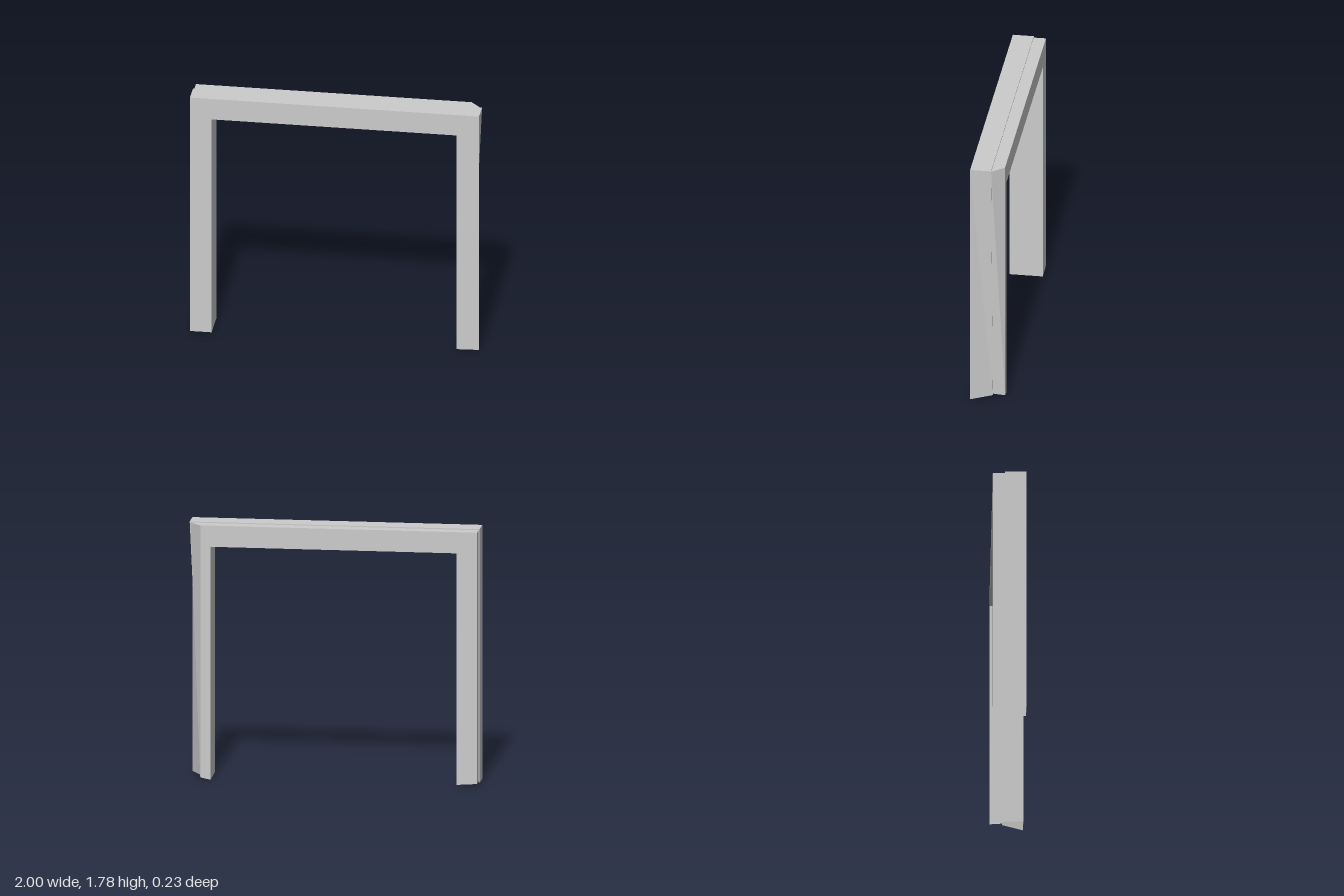
import * as THREE from 'three';

const FRONT = 0.115, STEP = -0.03, BACK = -0.115;

// One cross-section of the frame: inner edge, front face, outer edge, shallow step, back edge.
function section(inner, outer, mid, midInset, back) {
  return [
    [...inner[0], BACK], [...inner[1], FRONT], [...outer, FRONT],
    [...mid, STEP], [...midInset, STEP], [...back, BACK],
  ].map((p) => new THREE.Vector3(...p));
}

// Flat-faced skin through the cross-sections, left open at the foot of each leg.
function loft(sections) {
  const points = [];
  for (let i = 0; i < sections.length - 1; i++) {
    const n = sections[i].length;
    for (let k = 0; k < n; k++) {
      const a = sections[i][k], b = sections[i][(k + 1) % n];
      const d = sections[i + 1][k], c = sections[i + 1][(k + 1) % n];
      points.push(a, d, c, a, c, b);
    }
  }
  const geometry = new THREE.BufferGeometry().setFromPoints(points);
  geometry.computeVertexNormals();
  return geometry;
}

export function createModel() {
  const group = new THREE.Group();
  group.name = 'doorFrame';
  const material = new THREE.MeshStandardMaterial({
    color: 0xcccccc, flatShading: true, side: THREE.DoubleSide,
  });

  // Mitred stations running up one leg, across the lintel and down the other.
  const rightFoot = section([[-0.85, 0.01], [-0.85, 0.01]], [-1, 0.01], [-1, 0.01], [-0.993, 0.02], [-0.993, 0.02]);
  const rightCorner = section([[-0.85, 1.63], [-0.85, 1.63]], [-1, 1.785], [-1, 1.785], [-0.993, 1.778], [-0.993, 1.778]);
  // The far corner is chamfered at the back, and its leg tapers to a narrow foot.
  const leftCorner = section([[0.845, 1.63], [0.845, 1.63]], [1, 1.785], [1, 1.785], [0.995, 1.778], [0.916, 1.778]);
  const leftFoot = section([[0.845, 0], [0.845, 0.005]], [1, 0.01], [0.917, 0.01], [0.914, 0.02], [0.916, 0.015]);

  const parts = [
    ['rightJamb', rightFoot, rightCorner],
    ['lintel', rightCorner, leftCorner],
    ['leftJamb', leftCorner, leftFoot],
  ];
  for (const [name, start, end] of parts) {
    const mesh = new THREE.Mesh(loft([start, end]), material);
    mesh.name = name;
    group.add(mesh);
  }
  return group;
}
